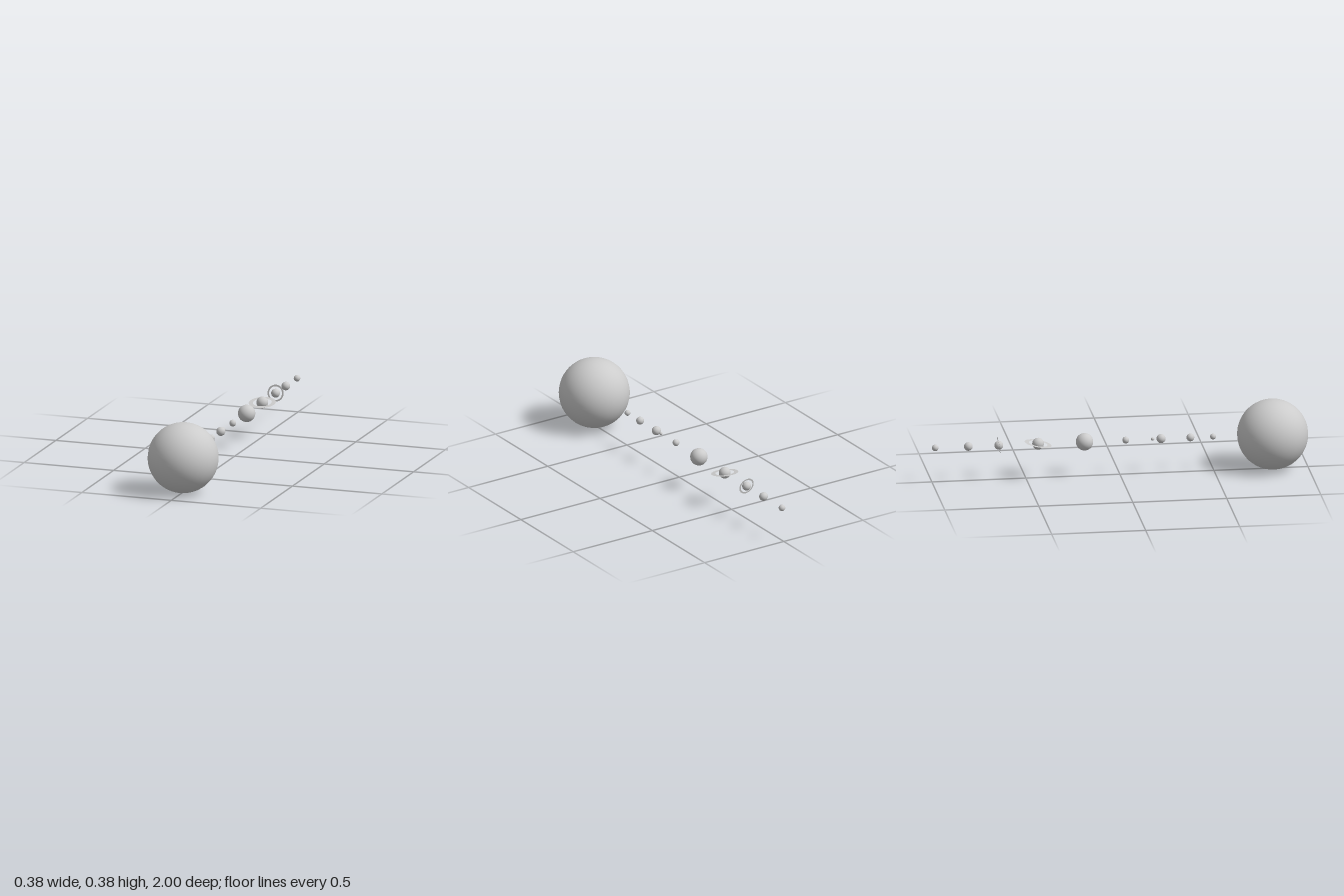
import * as THREE from 'three';

const material = new THREE.MeshStandardMaterial({ color: 0xcccccc });
const ringMaterial = new THREE.MeshStandardMaterial({ color: 0xcccccc, side: THREE.DoubleSide });
const AXIS_Y = 0.1875; // height of the row of bodies

// name, z position, radius
const bodies = [
  ['sun', 0.8125, 0.1875],
  ['firstPlanet', 0.495, 0.0155],
  ['secondPlanet', 0.375, 0.0208],
  ['thirdPlanet', 0.219, 0.024],
  ['moon', 0.174, 0.009],
  ['fourthPlanet', 0.031, 0.018],
  ['giantPlanet', -0.188, 0.046],
  ['ringedPlanet', -0.435, 0.031],
  ['tiltedRingPlanet', -0.644, 0.0235],
  ['outerPlanet', -0.806, 0.023],
  ['dwarfPlanet', -0.9825, 0.0175],
];

// name, z position, inner radius, outer radius, tilt of the ring's axis from vertical towards the front
const rings = [
  ['wideRing', -0.435, 0.05, 0.072, 10],
  ['uprightRing', -0.644, 0.036, 0.045, 80],
];

export function createModel() {
  const model = new THREE.Group();
  model.name = 'planetRow';

  // spheres in a line along z
  for (const [name, z, radius] of bodies) {
    const body = new THREE.Mesh(new THREE.SphereGeometry(radius, 32, 32), material);
    body.name = name;
    body.position.set(0, AXIS_Y, z);
    model.add(body);
  }

  // flat, paper-thin rings
  for (const [name, z, inner, outer, tilt] of rings) {
    const ring = new THREE.Mesh(new THREE.RingGeometry(inner, outer, 64), ringMaterial);
    ring.name = name;
    ring.rotation.x = THREE.MathUtils.degToRad(tilt - 90);
    ring.position.set(0, AXIS_Y, z);
    model.add(ring);
  }
  return model;
}
